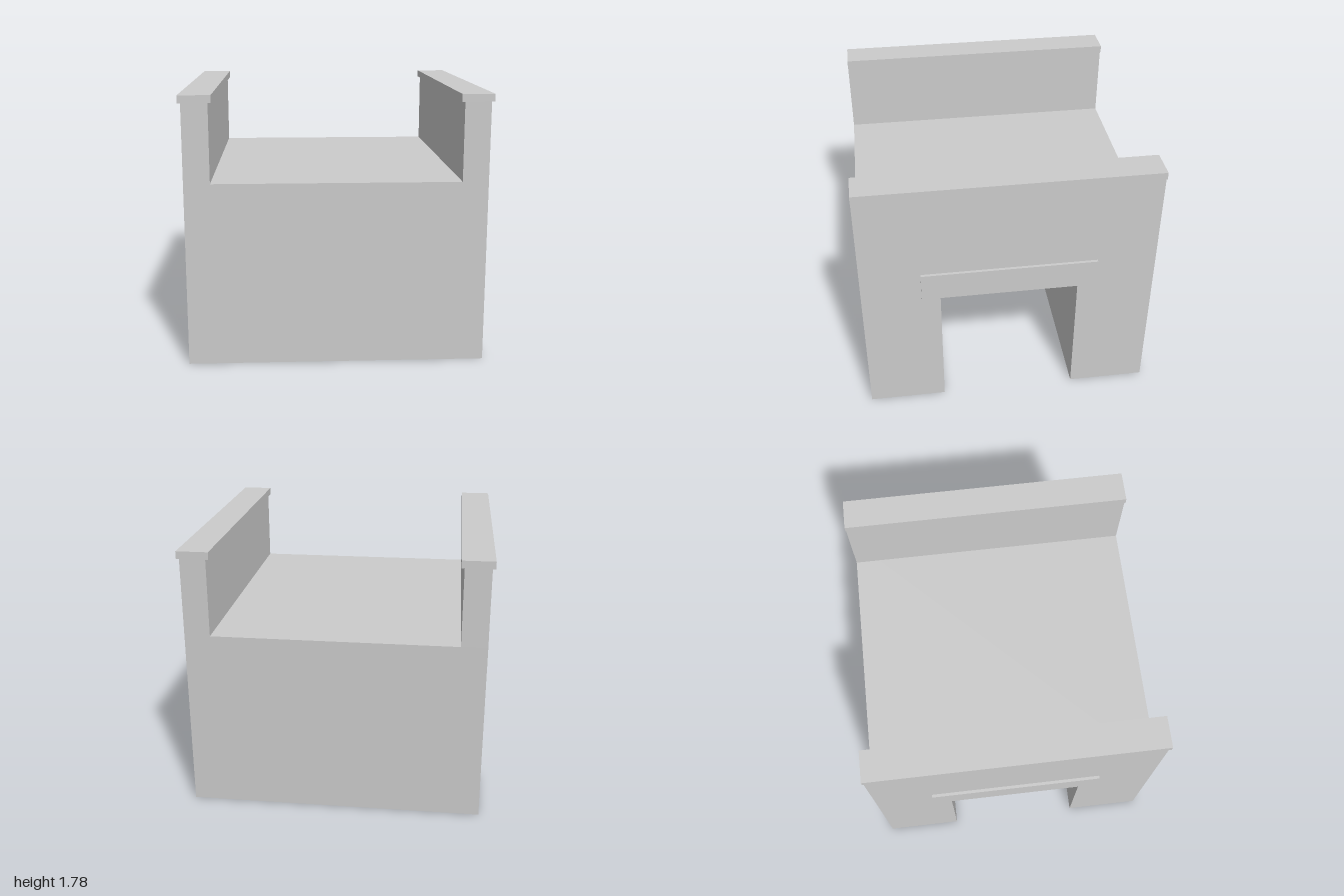
import * as THREE from 'three';

export function createModel() {
  const model = new THREE.Group();
  const material = new THREE.MeshStandardMaterial({ color: 0xcccccc, flatShading: true });
  const halfDepth = 0.98, halfWidth = 0.98, deckY = 1.215;

  const add = (name, geometry) => {
    const mesh = new THREE.Mesh(geometry, material);
    mesh.name = name;
    model.add(mesh);
  };

  // Box given by its extents, centred on z = 0
  const addBox = (name, x0, x1, y0, y1, depth) => {
    const geometry = new THREE.BoxGeometry(Math.abs(x1 - x0), y1 - y0, depth);
    add(name, geometry.translate((x0 + x1) / 2, (y0 + y1) / 2, 0));
  };

  // Bridge body: two piers and a deck around a square passage along x
  const profile = new THREE.Shape([
    [-halfDepth, 0], [-0.46, 0], [-0.46, 0.92], [0.46, 0.92],
    [0.46, 0], [halfDepth, 0], [halfDepth, deckY], [-halfDepth, deckY],
  ].map(([z, y]) => new THREE.Vector2(z, y)));
  const body = new THREE.ExtrudeGeometry(profile, { depth: 2 * halfWidth, bevelEnabled: false });
  add('bridgeBody', body.translate(0, 0, -halfWidth).rotateY(Math.PI / 2));

  // Parapet, coping and lintel on each side
  for (const [side, s] of [['left', 1], ['right', -1]]) {
    addBox(side + 'Parapet', s * 0.81, s * halfWidth, deckY, 1.73, 2 * halfDepth);
    addBox(side + 'Coping', s * 0.79, s, 1.73, 1.78, 2 * halfDepth);
    addBox(side + 'Lintel', s * halfWidth, s, 0.92, 1.115, 1.17);
  }

  return model;
}
